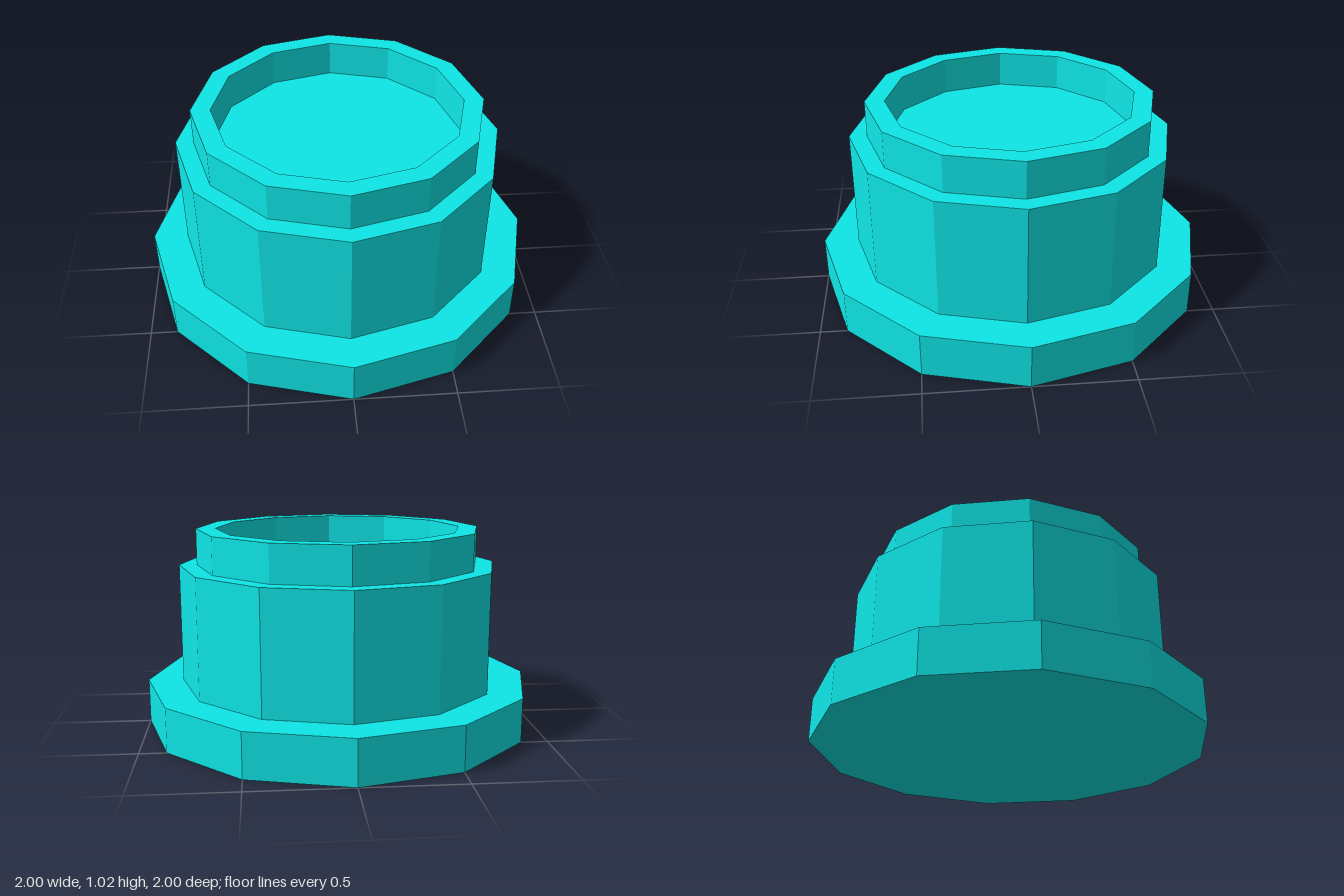
import * as THREE from 'three';

const SIDES = 12;

export function createModel() {
  const group = new THREE.Group();
  const material = new THREE.MeshStandardMaterial({ color: 0x0fe6e6, flatShading: true });

  const add = (name, geometry) => {
    const mesh = new THREE.Mesh(geometry, material);
    mesh.name = name;
    group.add(mesh);
  };
  const disc = (radius, bottom, top) =>
    new THREE.CylinderGeometry(radius, radius, top - bottom, SIDES).translate(0, (bottom + top) / 2, 0);

  // Wide foot and main drum; the drum's top is also the floor of the recess
  add('baseFlange', disc(1, 0, 0.225));
  add('body', disc(0.82, 0.225, 0.834));

  // Open raised rim: outer wall, top ring, inner wall
  const rim = [[0.73, 0.834], [0.73, 1.02], [0.63, 1.02], [0.63, 0.834]];
  add('topRim', new THREE.LatheGeometry(rim.map(([r, y]) => new THREE.Vector2(r, y)), SIDES));

  return group;
}
